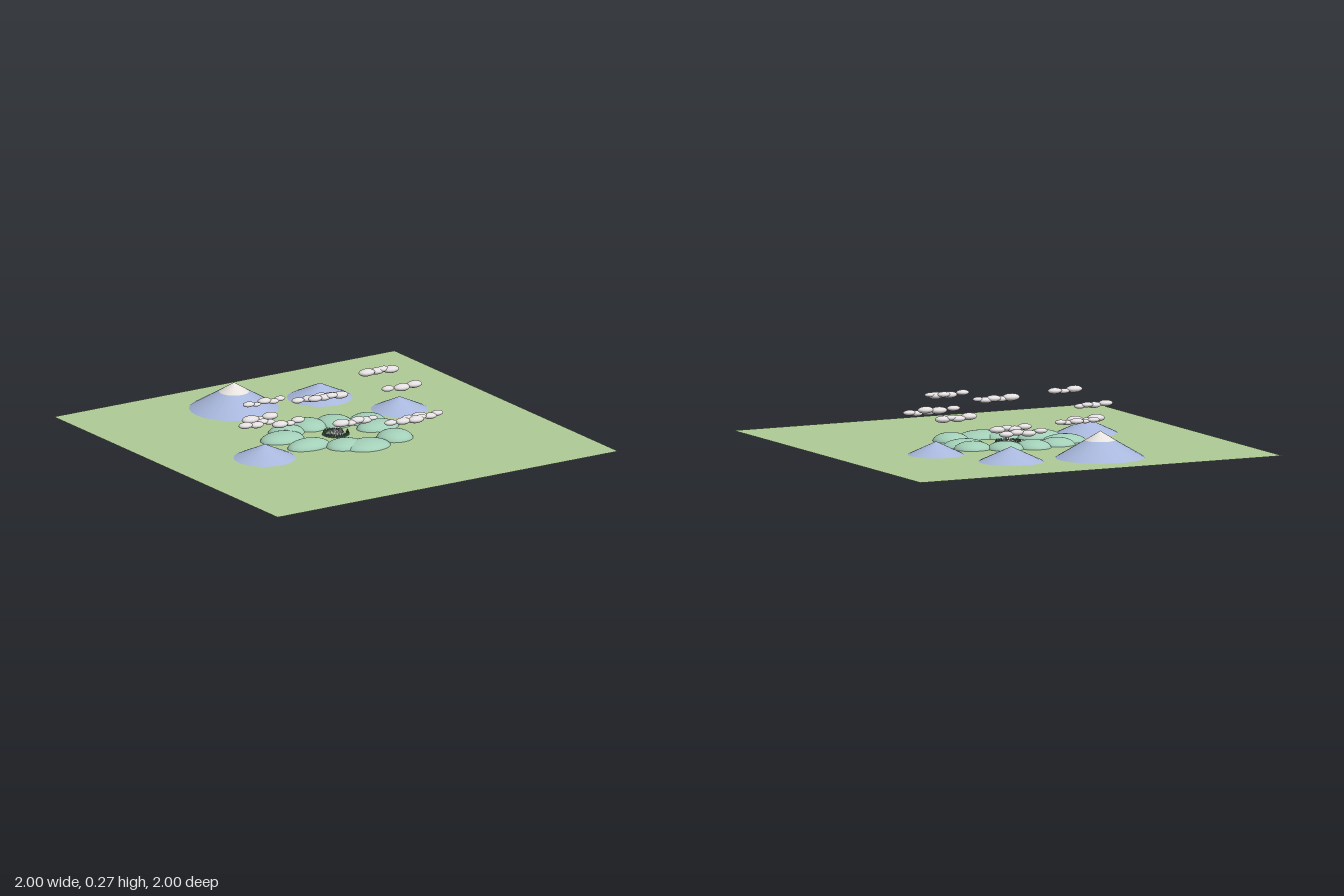
import * as THREE from 'three';

const paint = (name, color, extra = {}) => {
  const m = new THREE.MeshStandardMaterial({ color, ...extra });
  m.name = name;
  return m;
};

export function createModel() {
  const model = new THREE.Group();
  model.name = 'valley';
  const grass = paint('grass green', 0xafca95, { side: THREE.DoubleSide });
  const hillGreen = paint('hill green', 0xa3cfb8);
  const rock = paint('mountain blue', 0xa8b7dc);
  const snow = paint('snow', 0xe6e2de);
  const cloudWhite = paint('cloud white', 0xe4dfe0);
  const treeGreen = paint('tree green', 0x40604e);
  const houseGrey = paint('house grey', 0xd8d4d6);
  const GROUND = 0.055;

  const add = (parent, name, geometry, material, x, y, z) => {
    const mesh = new THREE.Mesh(geometry, material);
    mesh.name = name;
    mesh.position.set(x, y, z);
    parent.add(mesh);
    return mesh;
  };
  const group = (name) => {
    const g = new THREE.Group();
    g.name = name;
    model.add(g);
    return g;
  };

  // Flat meadow without thickness
  add(model, 'meadow', new THREE.PlaneGeometry(2, 2).rotateX(-Math.PI / 2), grass, 0, GROUND, 0);

  // Ring of flattened round hills: x, z, radius x, radius z, radius y
  const hills = group('hills');
  const ball = new THREE.SphereGeometry(1, 32, 20);
  [
    [-0.27, -0.07, 0.118, 0.085, 0.043], [-0.19, -0.155, 0.095, 0.085, 0.046],
    [-0.045, -0.18, 0.09, 0.097, 0.044], [0.095, -0.16, 0.092, 0.097, 0.042],
    [0.245, -0.095, 0.095, 0.087, 0.044], [0.235, 0.015, 0.114, 0.08, 0.041],
    [0.21, 0.205, 0.092, 0.09, 0.046], [0.02, 0.25, 0.122, 0.096, 0.039],
    [-0.07, 0.19, 0.1, 0.087, 0.041], [-0.225, 0.1, 0.118, 0.075, 0.045],
  ].forEach(([x, z, rx, rz, ry]) => {
    add(hills, 'hill', ball, hillGreen, x, 0.05, z).scale.set(rx, ry, rz);
  });
  hills.children[1].position.y = 0.046;

  // Cone mountains whose feet reach just below the meadow: x, z, radius, height
  const mountains = group('mountains');
  const FOOT = 0.043;
  [
    [-0.18, -0.637, 0.242, 0.142], [0.27, -0.555, 0.188, 0.086],
    [0.49, -0.178, 0.166, 0.077], [-0.508, 0.137, 0.18, 0.082],
  ].forEach(([x, z, r, h]) => {
    add(mountains, 'mountain', new THREE.ConeGeometry(r, h, 24), rock, x, FOOT + h / 2, z);
  });
  // Snow cap on the tallest peak
  add(mountains, 'snowCap', new THREE.ConeGeometry(0.075, 0.046, 24), snow, -0.18, 0.164, -0.637);

  // Clouds: height, then puffs as x, z, radius
  const clouds = group('clouds');
  const puffBall = new THREE.SphereGeometry(1, 16, 12);
  [
    [0.255, [-0.5, 0.26, 0.043], [-0.44, 0.255, 0.03], [-0.385, 0.245, 0.037]],
    [0.207, [-0.567, 0.055, 0.038], [-0.505, 0.06, 0.038], [-0.46, 0.045, 0.032], [-0.425, 0.053, 0.03]],
    [0.166, [-0.42, -0.125, 0.047], [-0.37, -0.13, 0.03], [-0.305, -0.125, 0.043]],
    [0.185, [-0.322, -0.29, 0.032], [-0.28, -0.285, 0.024], [-0.225, -0.297, 0.037], [-0.18, -0.285, 0.03], [-0.14, -0.29, 0.03]],
    [0.226, [-0.187, 0.33, 0.046], [-0.135, 0.335, 0.034], [-0.09, 0.33, 0.04], [-0.05, 0.335, 0.038], [-0.01, 0.34, 0.028]],
    [0.24, [-0.005, 0.495, 0.034], [0.07, 0.49, 0.04], [0.11, 0.475, 0.034], [0.14, 0.5, 0.044], [0.175, 0.495, 0.028]],
    [0.243, [0.35, -0.258, 0.044], [0.417, -0.27, 0.04], [0.45, -0.265, 0.034], [0.49, -0.255, 0.043]],
    [0.185, [0.27, 0.33, 0.044], [0.33, 0.34, 0.036], [0.372, 0.335, 0.033]],
    [0.152, [-0.025, -0.302, 0.034], [0.05, -0.315, 0.04], [0.107, -0.302, 0.038], [0.165, -0.302, 0.038]],
    [0.168, [0.033, -0.238, 0.038], [0.095, -0.248, 0.038], [0.13, -0.238, 0.034], [0.182, -0.238, 0.042]],
    [0.243, [0.29, 0.022, 0.034], [0.37, 0.025, 0.044], [0.44, 0.03, 0.042]],
  ].forEach(([y, ...puffs]) => {
    const cloud = new THREE.Group();
    cloud.name = 'cloud';
    clouds.add(cloud);
    puffs.forEach(([x, z, r], i) => {
      const puff = add(cloud, 'puff', puffBall, cloudWhite, x, y + (i % 2 ? -0.004 : 0.002), z);
      puff.scale.set(r, r * 0.4, r * 0.7);
    });
  });

  // Small grove circling a cluster of tiny houses in the middle
  const grove = group('grove');
  const tree = new THREE.ConeGeometry(0.007, 0.02, 6);
  for (let i = 0; i < 48; i++) {
    const a = i * 2.39996;
    const r = 0.045 + 0.024 * ((i * 0.618) % 1);
    add(grove, 'tree', tree, treeGreen, Math.cos(a) * r - 0.005, GROUND + 0.01, Math.sin(a) * r - 0.005);
  }
  const village = group('village');
  const house = new THREE.BoxGeometry(0.011, 0.014, 0.011);
  for (let i = 0; i < 14; i++) {
    const a = i * 2.39996;
    const r = 0.01 * Math.sqrt(i);
    add(village, 'house', house, houseGrey, Math.cos(a) * r, GROUND + 0.007, Math.sin(a) * r - 0.005).rotation.y = a;
  }
  return model;
}
